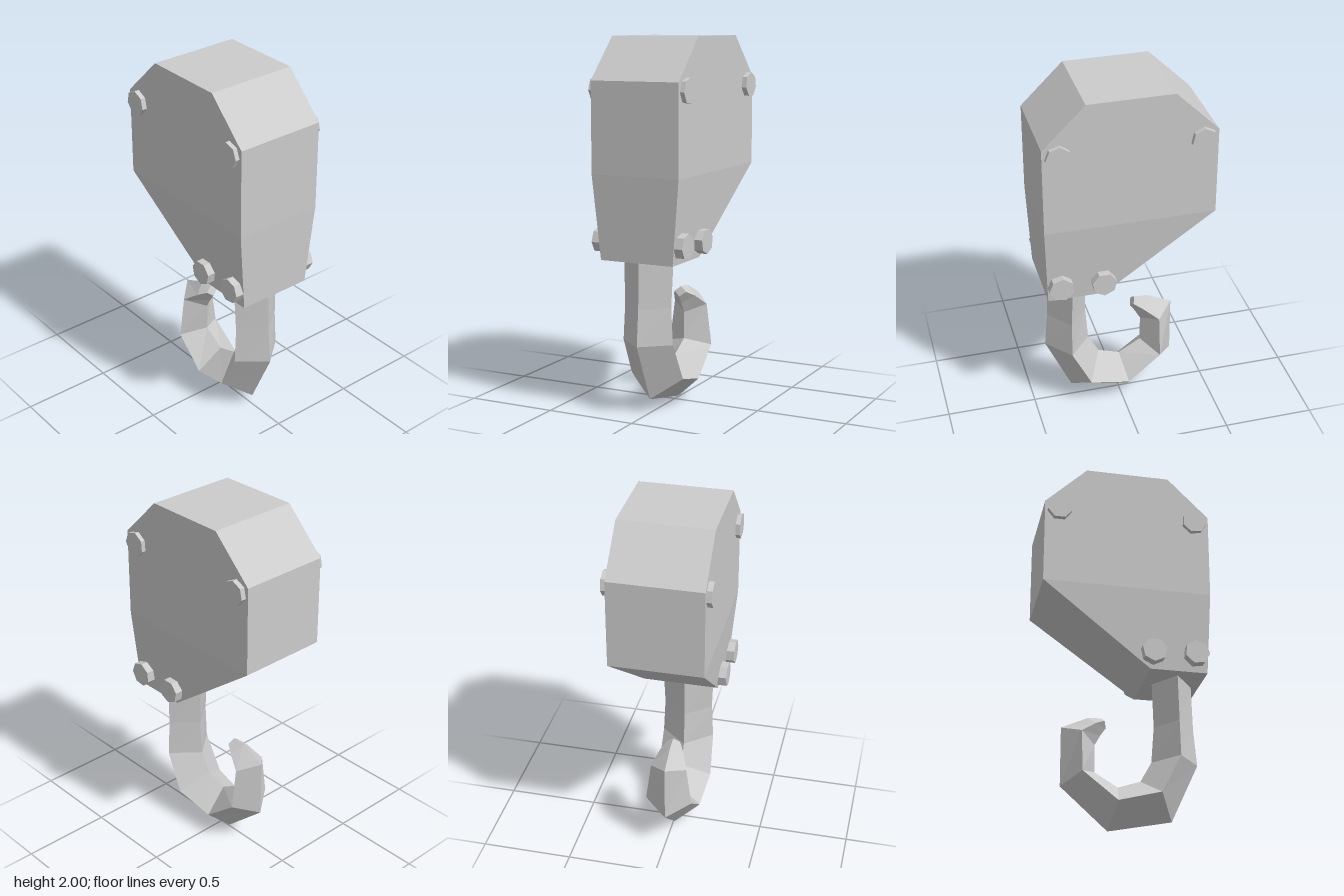
import * as THREE from 'three';

const material = new THREE.MeshStandardMaterial({ color: 0xcccccc, flatShading: true });

// Skin a list of four-cornered rings and close both ends.
// Each ring runs counter-clockwise seen from the end of the loft.
function loft(rings) {
  const pos = [];
  const quad = (a, b, c, d) => pos.push(...a, ...b, ...c, ...a, ...c, ...d);
  for (let i = 0; i < rings.length - 1; i++) {
    for (let j = 0; j < 4; j++) {
      const k = (j + 1) % 4;
      quad(rings[i][j], rings[i][k], rings[i + 1][k], rings[i + 1][j]);
    }
  }
  quad(...[...rings[0]].reverse());
  quad(...rings[rings.length - 1]);
  const geo = new THREE.BufferGeometry();
  geo.setAttribute('position', new THREE.Float32BufferAttribute(pos, 3));
  geo.computeVertexNormals();
  return geo;
}

export function createModel() {
  const model = new THREE.Group();
  model.name = 'craneHook';
  const add = (name, geo) => {
    const mesh = new THREE.Mesh(geo, material);
    mesh.name = name;
    model.add(mesh);
    return mesh;
  };

  // Pulley housing: levels of [y, left x, right x, half depth]
  const levels = [
    [0.84, 0.13, 0.44, 0.21],
    [1.29, -0.46, 0.457, 0.252],
    [1.775, -0.46, 0.457, 0.252],
    [2.0, -0.23, 0.23, 0.252],
  ];
  add('housing', loft(levels.map(([y, l, r, d]) =>
    [[l, y, d], [r, y, d], [r, y, -d], [l, y, -d]])));

  // Hook: diamond sections of [outer x, y, ridge x, y, inner x, y, half depth]
  const sections = [
    [0.4, 0.95, 0.29, 0.95, 0.18, 0.95, 0.15],
    [0.4, 0.84, 0.29, 0.84, 0.182, 0.84, 0.147],
    [0.407, 0.59, 0.298, 0.59, 0.19, 0.59, 0.138],
    [0.425, 0.39, 0.3, 0.39, 0.175, 0.39, 0.148],
    [0.28, 0.07, 0.195, 0.18, 0.115, 0.28, 0.156],
    [-0.06, 0, -0.03, 0.125, -0.005, 0.24, 0.14],
    [-0.31, 0.225, -0.215, 0.275, -0.13, 0.315, 0.13],
    [-0.31, 0.55, -0.215, 0.505, -0.13, 0.465, 0.1],
    [-0.17, 0.615, -0.135, 0.565, -0.1, 0.52, 0.065],
    [-0.095, 0.62, -0.083, 0.593, -0.07, 0.565, 0.035],
  ];
  const hook = add('hook', loft(sections.map(([ox, oy, rx, ry, ix, iy, d]) =>
    [[ox, oy, 0], [rx, ry, d], [ix, iy, 0], [rx, ry, -d]])));
  hook.position.z = 0.008;

  // Seven-sided bolt heads on both faces: [x, y, outer z, turn]
  const bolts = [
    [-0.38, 1.73, 0.28, 0],
    [0.375, 1.73, 0.276, 0.15],
    [0.143, 0.93, 0.265, Math.PI],
    [0.375, 0.937, 0.265, 0.15],
  ];
  const head = new THREE.CylinderGeometry(0.068, 0.068, 0.1, 7)
    .rotateX(Math.PI / 2).rotateZ(Math.PI);
  for (const [x, y, z, turn] of bolts) {
    for (const side of [1, -1]) {
      const bolt = add(side > 0 ? 'frontBolt' : 'backBolt', head);
      bolt.position.set(x, y, side * (z - 0.05));
      bolt.rotation.z = turn;
    }
  }
  return model;
}
